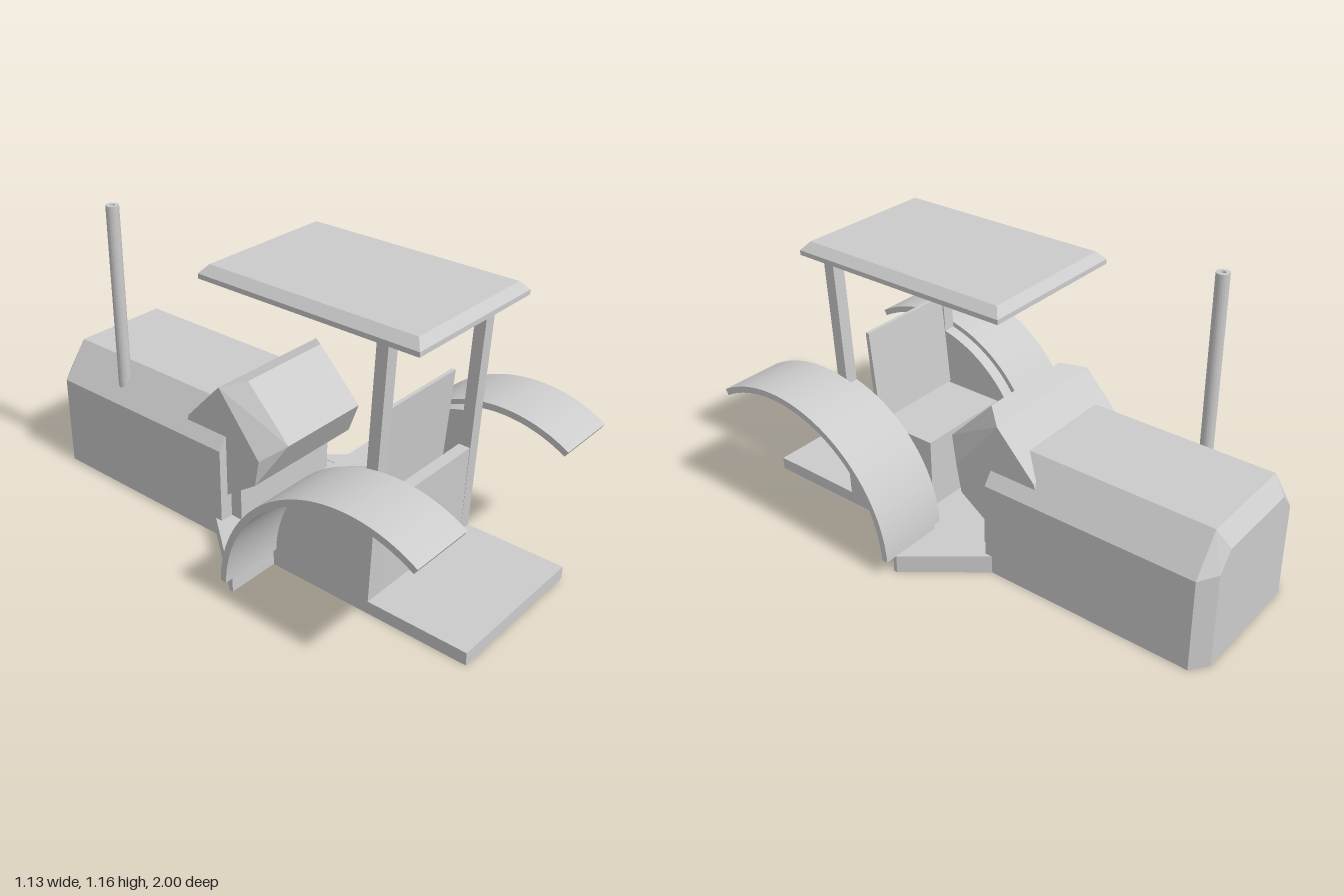
import * as THREE from 'three';
import { ConvexGeometry } from 'three/addons/geometries/ConvexGeometry.js';

const material = new THREE.MeshStandardMaterial({ color: 0xcccccc });
const V = (x, y, z) => new THREE.Vector3(x, y, z);

export function createModel() {
  const model = new THREE.Group();
  model.name = 'tractorBody';

  const add = (name, geometry) => {
    const mesh = new THREE.Mesh(geometry, material);
    mesh.name = name;
    model.add(mesh);
    return mesh;
  };
  // Box given by its limits on each axis
  const box = (name, x0, x1, y0, y1, z0, z1) =>
    add(name, new THREE.BoxGeometry(x1 - x0, y1 - y0, z1 - z0)
      .translate((x0 + x1) / 2, (y0 + y1) / 2, (z0 + z1) / 2));
  // Faceted solid from [x, y, z] corners mirrored across x
  const hull = (name, corners) =>
    add(name, new ConvexGeometry(corners.flatMap(([x, y, z]) => [V(x, y, z), V(-x, y, z)])));
  // Side profile in (z, y), extruded from x0 to x1
  const profile = (name, shape, x0, x1) =>
    add(name, new THREE.ExtrudeGeometry(shape, { depth: x1 - x0, bevelEnabled: false, curveSegments: 28 })
      .rotateY(-Math.PI / 2).translate(x1, 0, 0));
  const polygon = (points) => new THREE.Shape(points.map(([a, b]) => new THREE.Vector2(a, b)));

  // Engine hood with chamfered top and nose
  hull('hood', [
    [0.305, 0, -0.09], [0.305, 0.37, -0.09], [0.2, 0.515, -0.09],
    [0.305, 0, -0.95], [0.305, 0.37, -0.95], [0.2, 0.515, -0.95],
    [0.24, 0, -1], [0.24, 0.38, -1], [0.18, 0.45, -1],
  ]);

  // Tilted dashboard with a bevelled panel, carried by a firewall
  hull('dashboard', [
    [0.2, 0.44, 0.15], [0.2, 0.635, -0.04],
    [0.27, 0.375, 0.07], [0.27, 0.61, -0.12], [0.27, 0.44, -0.28],
    [0.27, 0.38, -0.3], [0.27, 0.17, -0.09], [0.27, 0.267, 0.05],
  ]);
  box('firewall', -0.25, 0.25, 0.05, 0.25, -0.1, -0.04);

  // Floor and rear platform
  box('cabFloor', -0.305, 0.305, 0, 0.07, -0.12, 0.58);
  box('rearPlatform', -0.305, 0.305, 0, 0.05, 0.58, 1);

  // Exhaust pipe with a recessed mouth
  add('exhaustPipe', new THREE.LatheGeometry([
    [0.025, 0.38], [0.025, 1.16], [0.01, 1.16], [0.01, 1.1], [0, 1.1],
  ].map(([r, y]) => new THREE.Vector2(r, y)), 20)).position.set(-0.243, 0, -0.66);
  model.getObjectByName('exhaustPipe').geometry = model.getObjectByName('exhaustPipe').geometry.toNonIndexed();
  model.getObjectByName('exhaustPipe').geometry.computeVertexNormals();

  // Roof slab with chamfered upper rim
  hull('roof', [
    [0.31, 1.03, 0.76], [0.31, 1.03, -0.16], [0.31, 1.048, 0.76], [0.31, 1.048, -0.16],
    [0.28, 1.08, 0.733], [0.28, 1.08, -0.133],
  ]);

  // Rear wall and seat
  profile('rearWall', polygon([[0.55, 0], [0.597, 0], [0.612, 0.41], [0.565, 0.41]]), -0.3, 0.3);
  box('seatBase', -0.2, 0.2, 0.07, 0.36, 0.26, 0.53);
  profile('seatBack', polygon([[0.515, 0.36], [0.535, 0.36], [0.565, 0.73], [0.55, 0.73]]), -0.21, 0.2);

  // Fender arc in (z, y)
  const cz = 0.692, cy = 0.05, outer = 0.535, inner = 0.51;
  const start = 1.03, end = Math.PI - 0.04;
  const fender = new THREE.Shape();
  fender.absarc(cz, cy, outer, start, end, false);
  fender.absarc(cz, cy, inner, end, start, true);

  // Side wall filling the space under the arc, ahead of the post
  const wall = new THREE.Shape();
  wall.moveTo(0.17, 0);
  wall.lineTo(0.597, 0);
  wall.lineTo(0.62, 0.555);
  wall.absarc(cz, cy, inner + 0.005, 1.71, end, false);

  // Flared step, drawn in (x, -z) and raised to its thickness
  const step = polygon([[0.29, -0.17], [0.52, -0.17], [0.52, -0.155], [0.305, 0.12], [0.29, 0.12]]);

  for (const side of [-1, 1]) {
    const label = side > 0 ? 'left' : 'right';
    const span = (a, b) => (side > 0 ? [a, b] : [-b, -a]);
    profile(label + 'Fender', fender, ...span(0.305, 0.565));
    profile(label + 'SideWall', wall, ...span(0.255, 0.305));
    profile(label + 'RoofPost',
      polygon([[0.567, 0.4], [0.612, 0.4], [0.643, 1.035], [0.598, 1.035]]), ...span(0.255, 0.305));
    const slab = new THREE.ExtrudeGeometry(step, { depth: 0.072, bevelEnabled: false }).rotateX(-Math.PI / 2);
    // Half turn about z mirrors the slab, then it is lifted back onto the ground
    if (side < 0) slab.rotateZ(Math.PI).translate(0, 0.072, 0);
    add(label + 'Step', slab);
  }
  return model;
}
